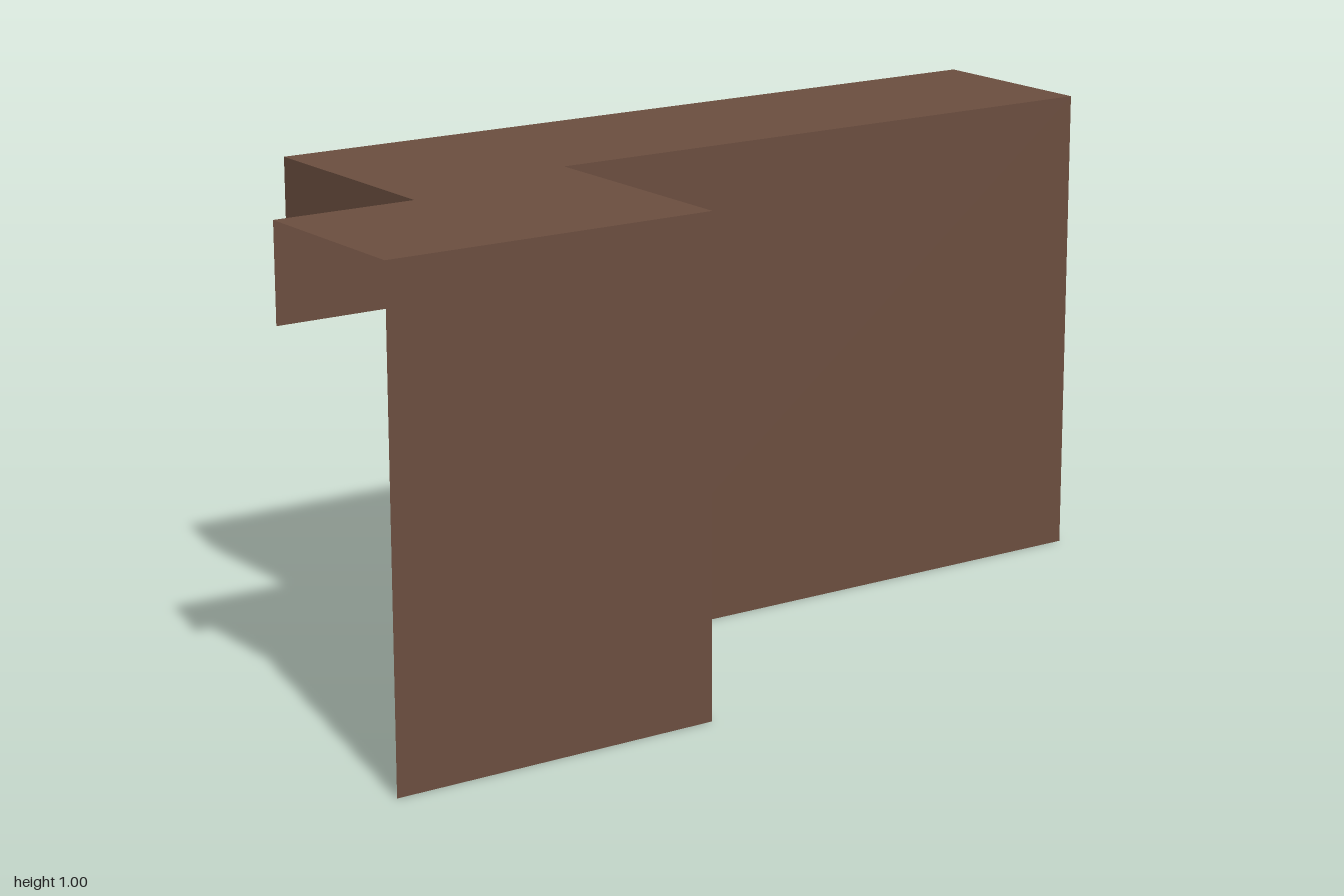
import * as THREE from 'three';

// Plan outlines as [x, z], running from right to left side of the model
const FRONT = [[-1, 0.45], [-0.3, 0.45], [-0.3, -0.05], [1, -0.05]];
const BACK = [[1, -0.45], [-0.7, -0.45], [-0.7, 0.05], [-1, 0.05]];

// Upright open strip that follows a plan path, flat shaded per panel
function strip(path, y0, y1) {
  const pos = [];
  for (let i = 0; i < path.length - 1; i++) {
    const [ax, az] = path[i], [bx, bz] = path[i + 1];
    pos.push(ax, y0, az, bx, y0, bz, bx, y1, bz);
    pos.push(ax, y0, az, bx, y1, bz, ax, y1, az);
  }
  const g = new THREE.BufferGeometry();
  g.setAttribute('position', new THREE.Float32BufferAttribute(pos, 3));
  g.computeVertexNormals();
  return g;
}

export function createModel() {
  const brown = new THREE.MeshStandardMaterial({ color: 0x6b4e3f, side: THREE.DoubleSide });
  brown.name = 'brown';
  const group = new THREE.Group();
  group.name = 'steppedLedge';
  const add = (name, geometry) => {
    const mesh = new THREE.Mesh(geometry, brown);
    mesh.name = name;
    group.add(mesh);
  };

  // Full-height wall with a step in it
  add('frontWall', strip(FRONT, 0, 1));

  // Short lip hanging from the back edge of the top
  add('backLip', strip(BACK, 0.8, 1));

  // Flat top joining wall and lip
  const outline = new THREE.Shape([...FRONT, ...BACK].map(([x, z]) => new THREE.Vector2(x, -z)));
  add('topSurface', new THREE.ShapeGeometry(outline).rotateX(-Math.PI / 2).translate(0, 1, 0));

  return group;
}
